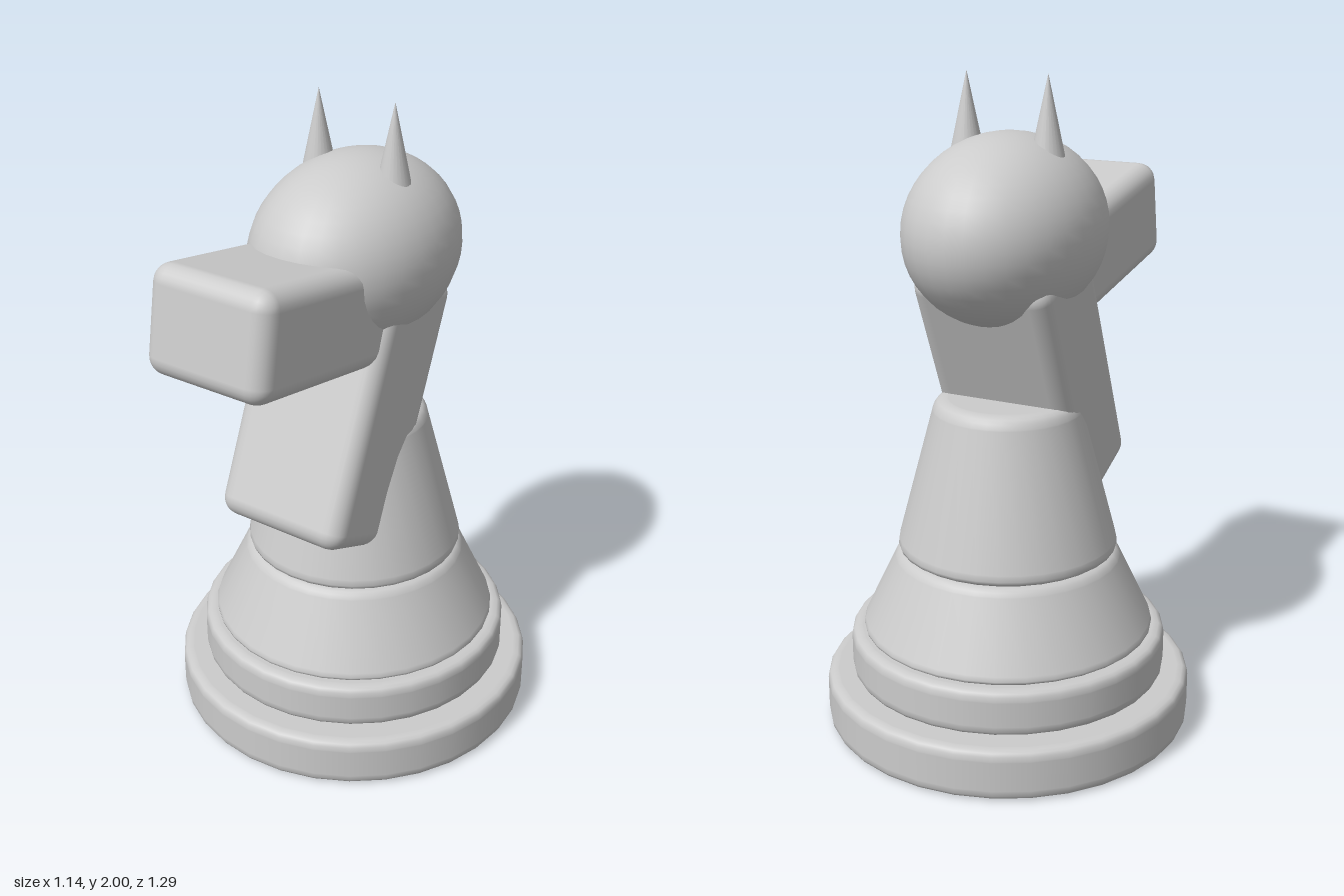
import * as THREE from 'three';
import { RoundedBoxGeometry } from 'three/addons/geometries/RoundedBoxGeometry.js';

const AXIS_Z = -0.07; // the turned base and head sit slightly behind centre

export function createModel() {
  const group = new THREE.Group();
  const material = new THREE.MeshStandardMaterial({ color: 0xcccccc });

  function add(name, geometry, x, y, z, tilt = 0) {
    const mesh = new THREE.Mesh(geometry, material);
    mesh.name = name;
    mesh.position.set(x, y, z);
    mesh.rotation.x = tilt;
    group.add(mesh);
    return mesh;
  }

  // Solid of revolution: a tapered drum with rounded rims
  function drum(rBottom, rTop, height, bevel) {
    const side = new THREE.Vector2(rTop - rBottom, height).normalize();
    const corner = (r, y, from, to) => {
      const c = new THREE.Vector2(r, y);
      const a = c.clone().addScaledVector(from, -bevel);
      const b = c.clone().addScaledVector(to, bevel);
      const arc = new THREE.QuadraticBezierCurve(a, c, b).getPoints(4);
      // support points keep the flat faces evenly shaded
      return [a.clone().addScaledVector(from, -0.004), ...arc, b.clone().addScaledVector(to, 0.004)];
    };
    const out = new THREE.Vector2(1, 0), inward = new THREE.Vector2(-1, 0);
    return new THREE.LatheGeometry([
      new THREE.Vector2(0, 0),
      ...corner(rBottom, 0, out, side),
      ...corner(rTop, height, side, inward),
      new THREE.Vector2(0, height),
    ], 32);
  }

  // Stacked base: name, bottom radius, top radius, bottom y, top y, bevel
  for (const [name, r0, r1, y0, y1, bevel] of [
    ['baseDisc', 0.572, 0.572, 0, 0.16, 0.03],
    ['baseRing', 0.492, 0.492, 0.16, 0.305, 0.03],
    ['lowerCone', 0.46, 0.338, 0.305, 0.56, 0.025],
    ['upperCone', 0.346, 0.218, 0.56, 1.04, 0.035],
  ]) add(name, drum(r0, r1, y1 - y0, bevel), 0, y0, AXIS_Z);

  // Neck leaning back, snout tipped slightly upward
  add('neck', new RoundedBoxGeometry(0.444, 0.84, 0.345, 3, 0.055), 0, 1.1, 0.035, -0.4);
  add('snout', new RoundedBoxGeometry(0.41, 0.315, 0.6, 3, 0.055), 0, 1.473, 0.33, -0.17);

  // Head
  add('head', new THREE.SphereGeometry(1, 32, 24), 0, 1.55, AXIS_Z - 0.003).scale.set(0.284, 0.284, 0.373);

  // Ears
  for (const [name, x] of [['leftEar', 0.13], ['rightEar', -0.13]]) {
    add(name, new THREE.ConeGeometry(0.058, 0.27, 24), x, 1.865, AXIS_Z);
  }
  return group;
}
